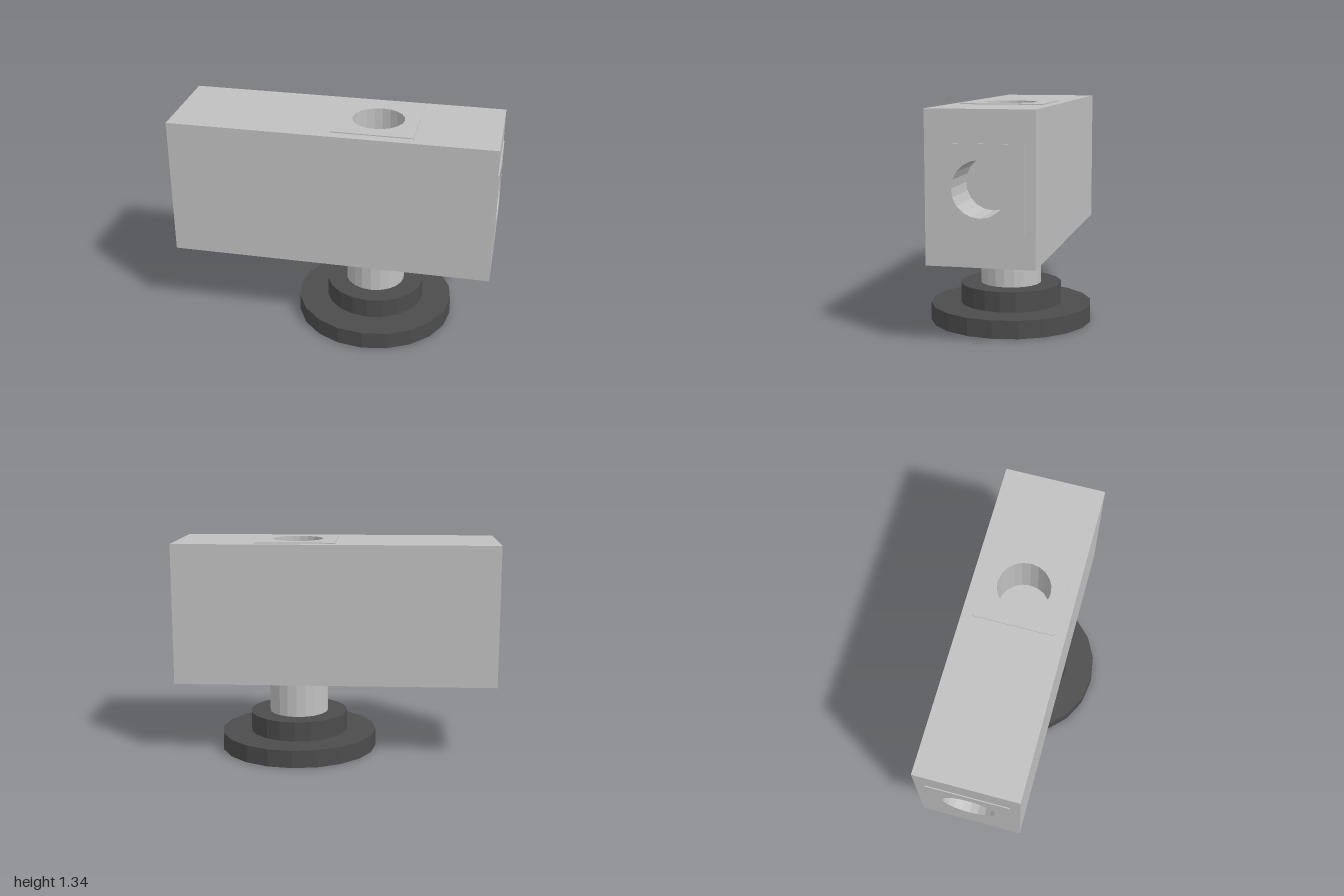
import * as THREE from 'three';

const SIDES = 20;
const W = 1.99, H = 0.868, D = 0.622; // housing size
const MID_Y = 0.904, STAND_X = 0.248;
const PLATE = 0.248, LIP = 0.006, BORE_R = 0.16, BORE_DEPTH = 0.3;

const grey = new THREE.MeshStandardMaterial({ color: 0xc0c0c0 });
grey.name = 'light grey metal';
const dark = new THREE.MeshStandardMaterial({ color: 0x4c4c4c });
dark.name = 'dark grey base';

// Faceted normals
function faceted(geometry) {
  const g = geometry.index ? geometry.toNonIndexed() : geometry;
  g.computeVertexNormals();
  return g;
}

function part(name, geometry, material, parent) {
  const mesh = new THREE.Mesh(faceted(geometry), material);
  mesh.name = name;
  parent.add(mesh);
  return mesh;
}

// Rectangle with a round hole at the origin
function holedRect(x0, x1, y0, y1) {
  const shape = new THREE.Shape();
  shape.moveTo(x0, y0).lineTo(x1, y0).lineTo(x1, y1).lineTo(x0, y1).closePath();
  const hole = new THREE.Path();
  hole.absarc(0, 0, BORE_R, 0, Math.PI * 2, true);
  shape.holes.push(hole);
  return shape;
}

// Housing wall with a raised square plate and a blind bore; local +z faces out
function port(name, x0, x1, y0, y1) {
  const g = new THREE.Group();
  g.name = name;
  part('wall', new THREE.ShapeGeometry(holedRect(x0, x1, y0, y1), SIDES / 2), grey, g);
  part('raisedPlate', new THREE.ExtrudeGeometry(holedRect(-PLATE, PLATE, -PLATE, PLATE),
    { depth: LIP, bevelEnabled: false, curveSegments: SIDES / 2 }), grey, g);
  const profile = [[BORE_R, 0], [BORE_R, -BORE_DEPTH], [0, -BORE_DEPTH]]
    .map(([r, y]) => new THREE.Vector2(r, y));
  part('bore', new THREE.LatheGeometry(profile, SIDES).rotateX(Math.PI / 2), grey, g);
  return g;
}

export function createModel() {
  const model = new THREE.Group();
  model.name = 'portedBlockOnStand';

  // Housing: plain front, back and underside
  const housing = new THREE.Group();
  housing.name = 'housing';
  housing.position.y = MID_Y;
  model.add(housing);
  part('frontWall', new THREE.PlaneGeometry(W, H), grey, housing).position.z = D / 2;
  const back = part('backWall', new THREE.PlaneGeometry(W, H), grey, housing);
  back.rotation.y = Math.PI;
  back.position.z = -D / 2;
  const under = part('underside', new THREE.PlaneGeometry(W, D), grey, housing);
  under.rotation.x = Math.PI / 2;
  under.position.y = -H / 2;

  // Ports on both ends and on top
  for (const [name, s] of [['leftPort', 1], ['rightPort', -1]]) {
    const end = port(name, -D / 2, D / 2, -H / 2, H / 2);
    end.rotation.y = s * Math.PI / 2;
    end.position.x = s * W / 2;
    housing.add(end);
  }
  const top = port('topPort', -W / 2 - STAND_X, W / 2 - STAND_X, -D / 2, D / 2);
  top.rotation.x = -Math.PI / 2;
  top.position.set(STAND_X, H / 2, 0);
  housing.add(top);

  // Stand: stepped discs and a column
  const stand = [
    ['baseDisc', 0.497, 0, 0.109, dark],
    ['baseStep', 0.311, 0.109, 0.233, dark],
    ['column', 0.187, 0.233, MID_Y - H / 2, grey],
  ];
  for (const [name, r, y0, y1, material] of stand) {
    part(name, new THREE.CylinderGeometry(r, r, y1 - y0, SIDES), material, model)
      .position.set(STAND_X, (y0 + y1) / 2, 0);
  }
  return model;
}
